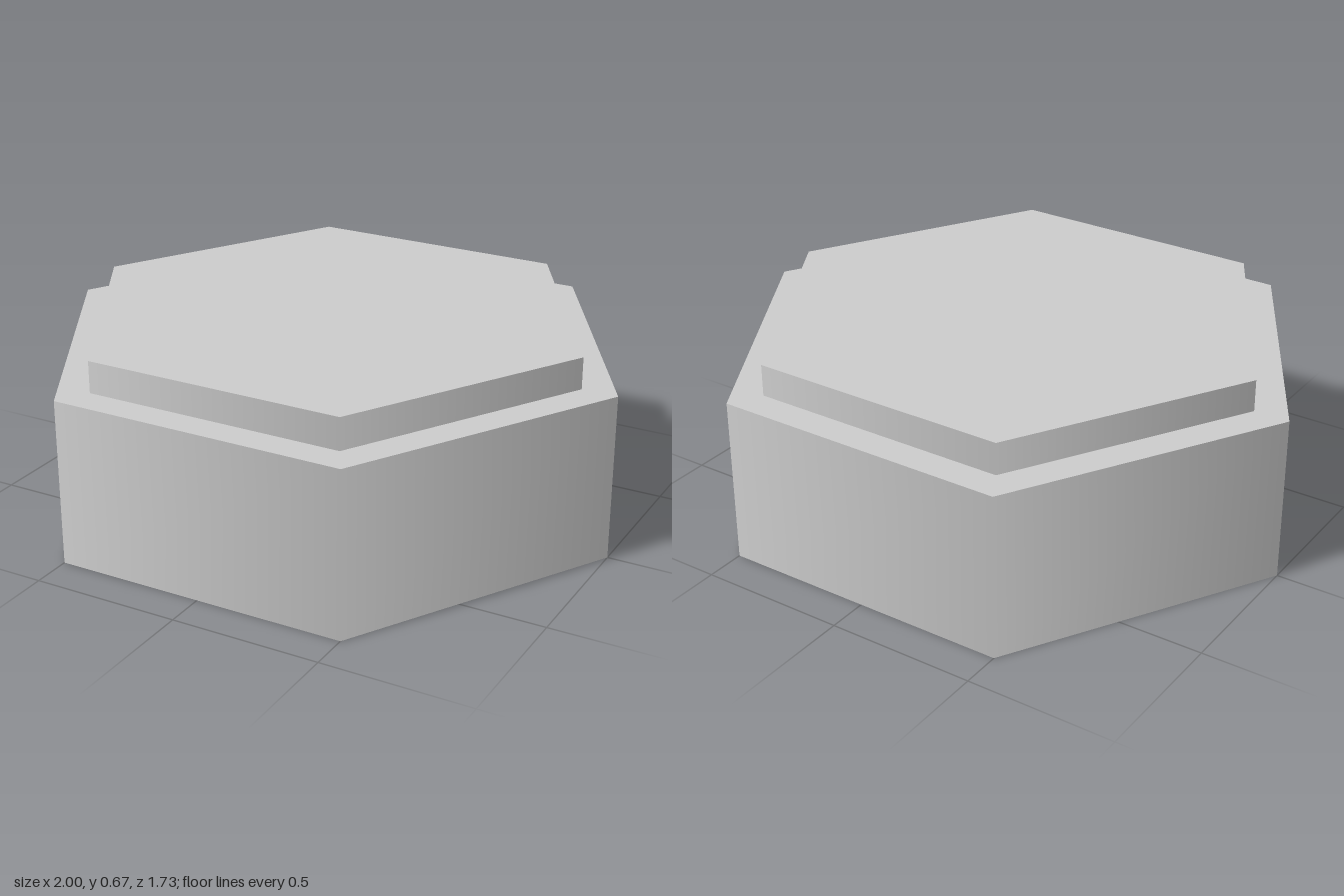
import * as THREE from 'three';

const material = new THREE.MeshStandardMaterial({ color: 0xcccccc });

// Smooth-shaded hexagonal prism with corners on the x axis, standing on y = bottom
function hexPrism(name, radius, bottom, top) {
  const geometry = new THREE.CylinderGeometry(radius, radius, top - bottom, 6, 1, false, Math.PI / 2);
  geometry.translate(0, (bottom + top) / 2, 0);
  const mesh = new THREE.Mesh(geometry, material);
  mesh.name = name;
  return mesh;
}

export function createModel() {
  const group = new THREE.Group();
  group.name = 'hexagonalPlatform';
  group.add(
    hexPrism('base', 1, 0, 0.56),
    hexPrism('raisedTop', 0.88, 0.56, 0.667), // narrower step on the base
  );
  return group;
}
